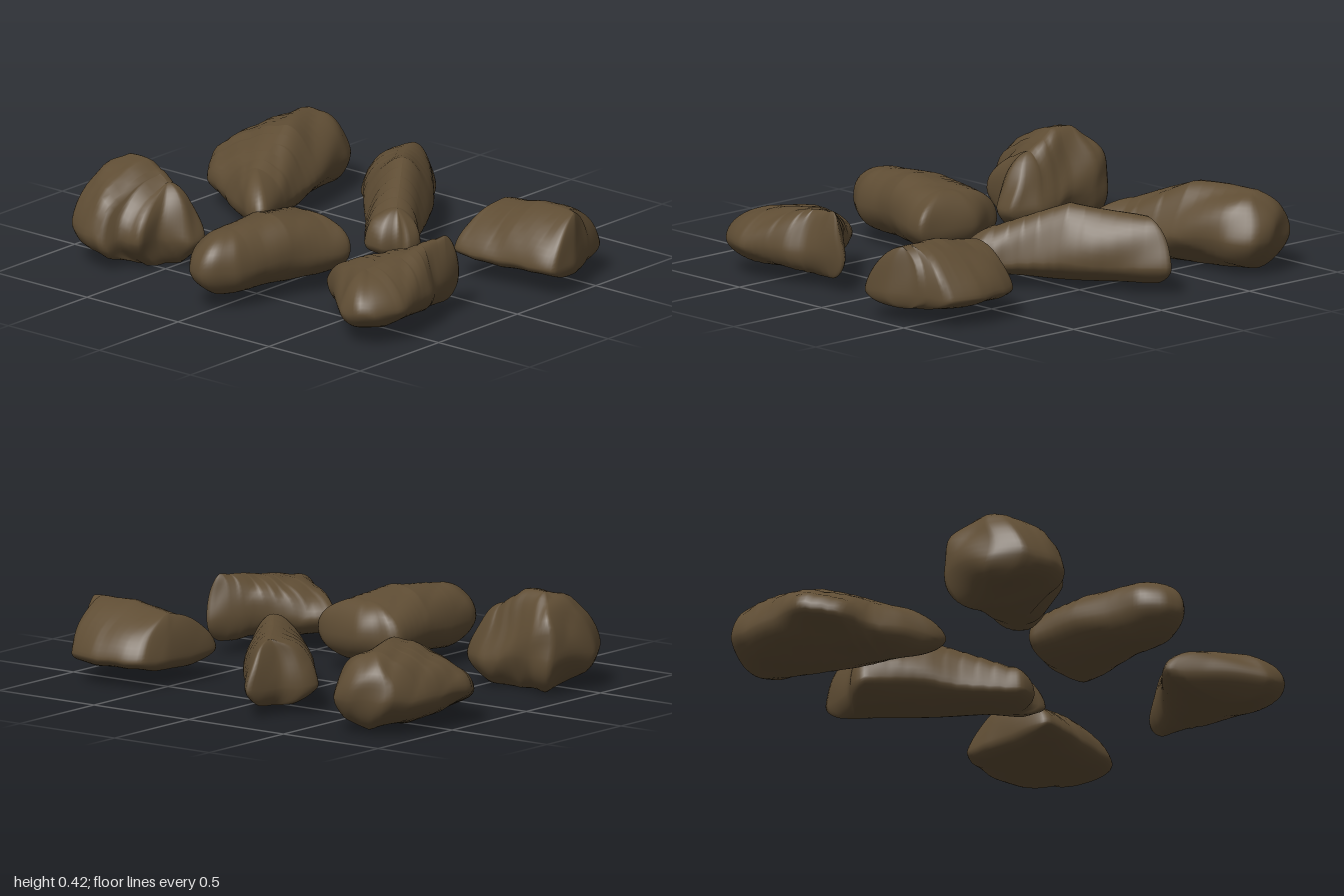
import * as THREE from 'three';

const AROUND = 96, ROWS = 24, CREST_STEPS = 10;

// Crest point closest to p in plan; stepped, so that both flanks meet at the same points
function crestPoint({ from, to, heights }, p) {
  const dx = to[0] - from[0], dz = to[1] - from[1];
  const near = ((p.x - from[0]) * dx + (p.z - from[1]) * dz) / (dx * dx + dz * dz);
  const t = Math.round(THREE.MathUtils.clamp(near, 0, 1) * CREST_STEPS) / CREST_STEPS;
  const [start, middle, end] = heights;
  const y = t < 0.5 ? start + (middle - start) * 2 * t : middle + (end - middle) * (2 * t - 1);
  return new THREE.Vector3(from[0] + dx * t, y, from[1] + dz * t);
}

// Weathered lumps and chips, continuous in space
function weather(p, amp) {
  const { x, y, z } = p;
  const lump = Math.sin(17 * x + 5 * z + 9 * y) + Math.sin(15 * z - 7 * x + 13 * y);
  const chip = Math.abs(Math.sin(21 * x - 13 * z + 8 * y)) - 0.6;
  p.x += amp * 0.5 * Math.sin(23 * y + 16 * z);
  p.z += amp * 0.5 * Math.sin(25 * y + 18 * x);
  p.y = Math.max(0, y + amp * (0.4 * lump + 0.7 * chip));
}

// Rings run from the base, out to the widest outline, and in to the crest line.
// slope, under: below 1 is boxy, 1 is round, 2 is straight-sided. waist: height of the widest ring.
function rockGeometry({ outline, crest, base, slope, under, rough, waist }) {
  const corners = outline.map(([x, z]) => new THREE.Vector3(x, 0, z));
  const edge = new THREE.CatmullRomCurve3(corners, true, 'catmullrom', 0.2).getSpacedPoints(AROUND);
  const pos = [], index = [];
  for (let j = 0; j <= ROWS; j++) {
    const a = (j / ROWS - 0.5) * Math.PI, up = a > 0;
    const k = up ? slope : under;
    const out = Math.pow(Math.max(0, Math.cos(a)), k), rise = Math.pow(Math.abs(Math.sin(a)), k);
    for (let i = 0; i < AROUND; i++) {
      const e = edge[i], q = crestPoint(crest, e);
      const mid = base + (q.y - base) * waist;
      const p = new THREE.Vector3(
        q.x + (e.x - q.x) * out,
        mid + ((up ? q.y : base) - mid) * rise,
        q.z + (e.z - q.z) * out);
      weather(p, rough);
      pos.push(p.x, p.y, p.z);
      if (j < ROWS) {
        const n = (i + 1) % AROUND, r = j * AROUND, s = r + AROUND;
        index.push(r + i, s + i, r + n, r + n, s + i, s + n);
      }
    }
  }
  const g = new THREE.BufferGeometry();
  g.setAttribute('position', new THREE.Float32BufferAttribute(pos, 3));
  g.setIndex(index);
  g.computeVertexNormals();
  return g;
}

export function createModel() {
  const group = new THREE.Group();
  group.name = 'rocks';
  const stone = new THREE.MeshStandardMaterial({ color: 0x5f4d34 });
  stone.name = 'brownStone';

  // Outlines are x, z corners, clockwise from above; crests run between two x, z points
  function addRock(name, shape) {
    const mesh = new THREE.Mesh(rockGeometry(shape), stone);
    mesh.name = name;
    group.add(mesh);
  }

  addRock('largeWedgeRock', {
    base: 0.01, slope: 1.15, under: 1.15, rough: 0.013, waist: 0.42,
    outline: [[-.91, -.81], [-.76, -.87], [-.66, -.85], [-.58, -.75], [-.52, -.45], [-.44, -.06],
      [-.53, -.04], [-.66, -.11], [-.78, -.2], [-.91, -.24], [-1, -.38], [-.97, -.6]],
    crest: { from: [-.77, -.74], to: [-.6, -.2], heights: [.35, .34, .25] },
  });
  addRock('longDiagonalRock', {
    base: 0.04, slope: 1.1, under: 1.05, rough: 0.009, waist: 0.3,
    outline: [[-.2, -.85], [-.12, -.78], [.03, -.59], [.21, -.3], [.31, -.19], [.31, -.09],
      [.24, -.12], [.19, -.06], [.1, -.06], [-.06, -.27], [-.33, -.54], [-.32, -.62], [-.25, -.69]],
    crest: { from: [-.2, -.7], to: [.18, -.18], heights: [.31, .36, .25] },
  });
  addRock('squareRidgeRock', {
    base: 0.06, slope: 1.3, under: 1, rough: 0.006, waist: 0.25,
    outline: [[.48, -.2], [.48, -.52], [.52, -.65], [.6, -.69], [.75, -.7],
      [.89, -.66], [.94, -.5], [.99, -.38], [.99, -.25], [.9, -.22]],
    crest: { from: [.54, -.45], to: [.94, -.43], heights: [.3, .33, .33] },
  });
  addRock('peakedRock', {
    base: 0, slope: 1.2, under: 1.1, rough: 0.015, waist: 0.38,
    outline: [[-.91, .29], [-.82, .26], [-.7, .3], [-.53, .29], [-.42, .34], [-.41, .44],
      [-.51, .52], [-.53, .63], [-.63, .66], [-.66, .74], [-.75, .73], [-.87, .67], [-.93, .55]],
    crest: { from: [-.78, .4], to: [-.57, .42], heights: [.43, .42, .33] },
  });
  addRock('smoothLoafRock', {
    base: 0.05, slope: 0.95, under: 1, rough: 0.005, waist: 0.45,
    outline: [[-.18, .2], [-.1, .16], [0, .13], [.25, .19], [.21, .36], [.14, .58], [.11, .74],
      [.05, .83], [0, .86], [-.08, .83], [-.15, .72]],
    crest: { from: [.06, .25], to: [-.01, .65], heights: [.31, .345, .32] },
  });
  addRock('pointedRock', {
    base: 0.05, slope: 1.15, under: 1.05, rough: 0.01, waist: 0.4,
    outline: [[.38, .49], [.5, .37], [.63, .26], [.72, .16], [.78, .11], [.81, .3], [.86, .38],
      [.9, .6], [.85, .74], [.8, .79], [.7, .78], [.5, .6]],
    crest: { from: [.765, .19], to: [.69, .6], heights: [.34, .32, .28] },
  });
  return group;
}
